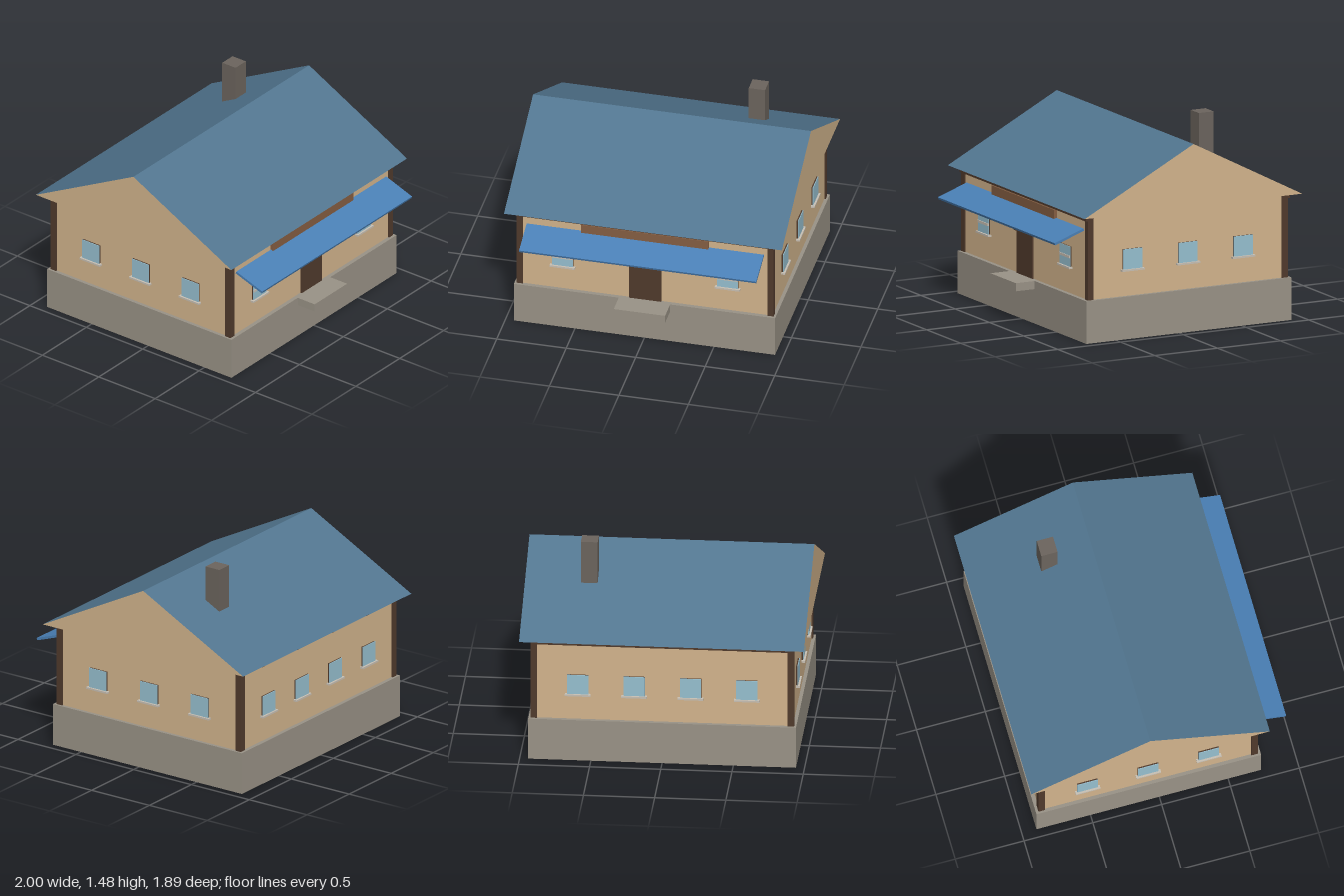
import * as THREE from 'three';

const mat = (name, color) => {
  const m = new THREE.MeshStandardMaterial({ color });
  m.name = name;
  return m;
};

export function createModel() {
  const house = new THREE.Group();
  house.name = 'house';

  const plaster = mat('tan plaster', 0xd2b48c);
  const stone = mat('grey stone', 0x999286);
  const slate = mat('blue roof', 0x527690);
  const timber = mat('dark timber', 0x503a2c);
  const board = mat('brown board', 0x855e42);
  const glass = mat('window glass', 0x96bfcf);
  const trim = mat('pale trim', 0xc8c0b4);
  const canvas = mat('blue awning', 0x4a80b6);
  const brick = mat('chimney grey', 0x6b645d);

  // Box given by its extents on each axis
  const box = (name, material, [x0, x1], [y0, y1], [z0, z1], parent = house) => {
    const mesh = new THREE.Mesh(new THREE.BoxGeometry(x1 - x0, y1 - y0, z1 - z0), material);
    mesh.position.set((x0 + x1) / 2, (y0 + y1) / 2, (z0 + z1) / 2);
    mesh.name = name;
    parent.add(mesh);
    return mesh;
  };

  const midZ = -0.077, base = 0.305, eave = 0.91;
  const wallX = 0.915, wallZ = 0.787; // half sizes of the walls

  // Foundation, walls and front step
  box('foundation', stone, [-0.94, 0.94], [0, base], [-0.893, 0.74]);
  box('walls', plaster, [-wallX, wallX], [base, eave], [midZ - wallZ, midZ + wallZ]);
  box('frontStep', stone, [-0.185, 0.185], [0.247, base], [0.73, 0.89]);

  // Corner posts, and eave beams along front and back
  for (const sz of [1, -1]) {
    for (const sx of [1, -1]) {
      const post = box('cornerPost', timber, [-0.0225, 0.0225], [base, eave], [-0.0235, 0.0235]);
      post.position.x = sx * 0.9025;
      post.position.z = midZ + sz * 0.7735;
    }
    const beam = box('eaveBeam', timber, [-0.925, 0.925], [0.872, eave], [-0.015, 0.015]);
    beam.position.z = midZ + sz * 0.797;
  }

  // Gabled roof: tan ends, blue slopes and underside
  const gable = new THREE.Shape([
    new THREE.Vector2(-0.947, eave),
    new THREE.Vector2(0.786, eave),
    new THREE.Vector2(-0.082, 1.357),
  ]);
  const roofGeo = new THREE.ExtrudeGeometry(gable, { depth: 2, bevelEnabled: false });
  roofGeo.rotateY(-Math.PI / 2).translate(1, 0, 0);
  const roof = new THREE.Mesh(roofGeo, [plaster, slate]);
  roof.name = 'roof';
  house.add(roof);

  box('chimney', brick, [0.49, 0.608], [1.0, 1.476], [-0.455, -0.337]);

  // Window facing +z at its own origin, then turned onto its wall
  const addWindow = (x, z, turn, crossbar = false) => {
    const w = new THREE.Group();
    w.name = 'window';
    box('windowFrame', timber, [-0.075, 0.075], [0.492, 0.642], [-0.005, 0.009], w);
    box('windowPane', glass, [-0.075, 0.075], [0.492, 0.642], [0.009, 0.014], w);
    box('windowSill', trim, [-0.09, 0.09], [0.485, 0.498], [-0.005, 0.027], w);
    if (crossbar) box('windowCrossbar', trim, [-0.075, 0.075], [0.56, 0.578], [0.01, 0.02], w);
    w.position.set(x, 0, z);
    w.rotation.y = turn;
    house.add(w);
  };
  for (const x of [-0.594, 0.594]) addWindow(x, midZ + wallZ, 0, true);
  for (const x of [-0.594, -0.198, 0.198, 0.594]) addWindow(x, midZ - wallZ, Math.PI);
  for (const z of [-0.44, 0, 0.44]) {
    addWindow(wallX, midZ + z, Math.PI / 2);
    addWindow(-wallX, midZ + z, -Math.PI / 2);
  }

  // Front door with lintel
  box('door', timber, [-0.116, 0.116], [base, 0.61], [0.7, 0.722]);
  box('doorLintel', timber, [-0.138, 0.138], [0.609, 0.633], [0.7, 0.731]);

  // Plain board above the awning
  box('frontBoard', board, [-0.458, 0.458], [0.78, 0.866], [0.705, 0.734]);

  // Sloping awning
  const awning = box('awning', canvas, [-0.853, 0.853], [-0.0085, 0.0085], [-0.122, 0.122]);
  awning.position.set(0, 0.759, 0.828);
  awning.rotation.x = 0.34;

  return house;
}
